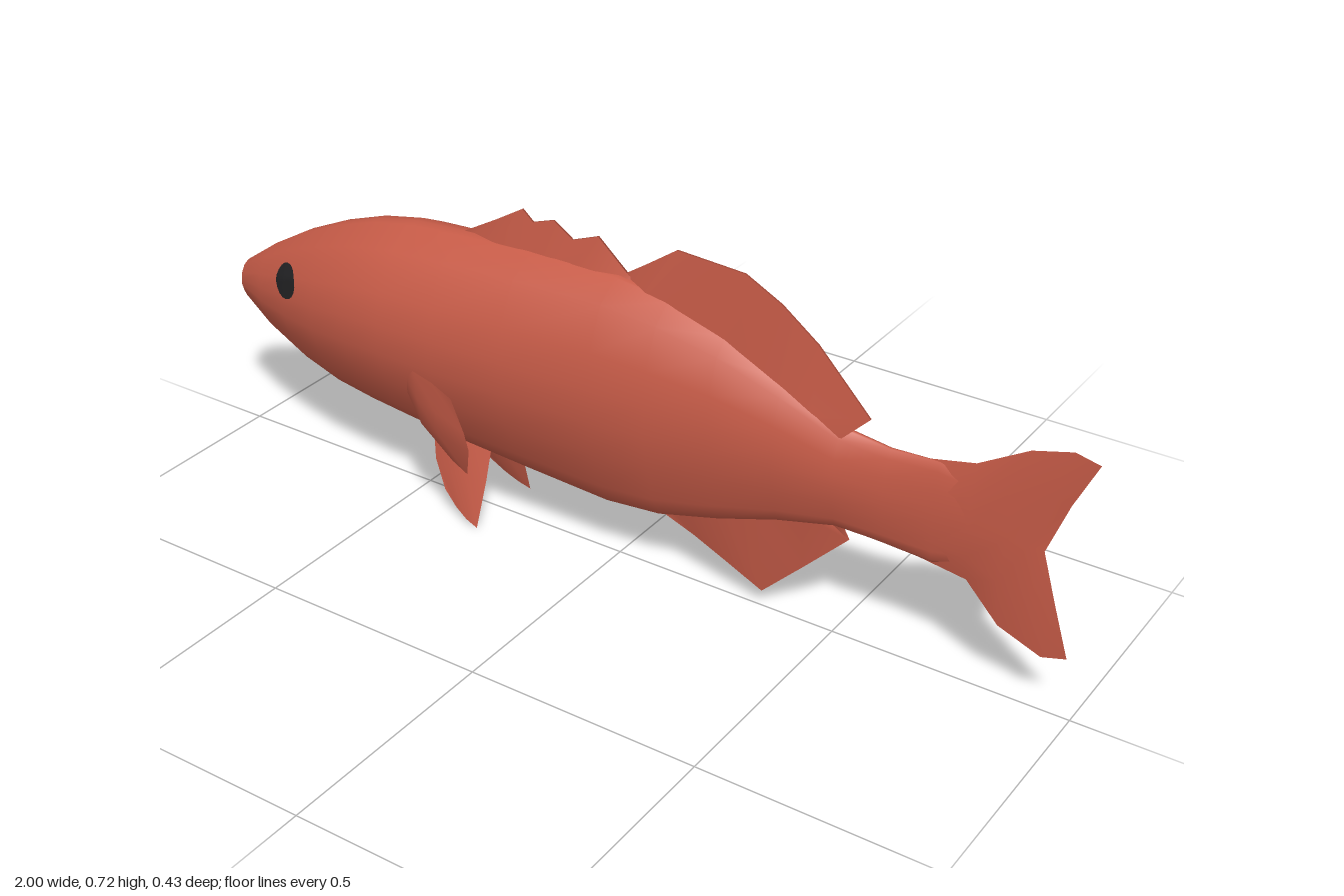
import * as THREE from 'three';

// Body stations from nose to tail root: x, belly y, back y, half width
const STATIONS = [
  [-1, 0.325, 0.375, 0.012], [-0.985, 0.312, 0.405, 0.03], [-0.9, 0.262, 0.465, 0.066],
  [-0.8, 0.222, 0.523, 0.1], [-0.7, 0.197, 0.568, 0.126], [-0.6, 0.185, 0.602, 0.143],
  [-0.5, 0.175, 0.622, 0.149], [-0.37, 0.161, 0.632, 0.147], [-0.2, 0.147, 0.64, 0.137],
  [0, 0.13, 0.64, 0.117], [0.12, 0.138, 0.622, 0.1], [0.25, 0.172, 0.585, 0.08],
  [0.38, 0.215, 0.525, 0.058], [0.5, 0.245, 0.462, 0.038], [0.6, 0.242, 0.45, 0.025],
  [0.7, 0.237, 0.455, 0.017], [0.78, 0.26, 0.44, 0.011], [0.87, 0.31, 0.38, 0.004],
];
// Half cross-section from belly to back: width fraction, height fraction
const SECTION = [[0, 0], [0.4, 0.04], [0.62, 0.13], [0.86, 0.3], [1, 0.46], [0.98, 0.6],
  [0.9, 0.75], [0.58, 0.92], [0.14, 0.995], [0, 1]];

// Linear lookup of column `out` in a table sorted by column `key`
function lookup(table, key, out, v) {
  let i = 1;
  while (i < table.length - 1 && table[i][key] < v) i++;
  const a = table[i - 1], b = table[i];
  const t = THREE.MathUtils.clamp((v - a[key]) / (b[key] - a[key]), 0, 1);
  return a[out] + (b[out] - a[out]) * t;
}
const belly = x => lookup(STATIONS, 0, 1, x);
const back = x => lookup(STATIONS, 0, 2, x);
const flankZ = (x, y) =>
  lookup(STATIONS, 0, 3, x) * lookup(SECTION, 1, 0, (y - belly(x)) / (back(x) - belly(x)));

function makeGeometry(positions, index) {
  const g = new THREE.BufferGeometry();
  g.setAttribute('position', new THREE.Float32BufferAttribute(positions, 3));
  g.setIndex(index);
  g.computeVertexNormals();
  return g;
}

// Closed loft through the body stations
function bodyGeometry() {
  const ring = [...SECTION, ...SECTION.slice(1, -1).reverse().map(([w, h]) => [-w, h])];
  const n = ring.length, pos = [], idx = [];
  for (const [x, lo, hi, half] of STATIONS)
    for (const [w, h] of ring) pos.push(x, lo + (hi - lo) * h, half * w);
  for (let i = 0; i < STATIONS.length - 1; i++)
    for (let j = 0; j < n; j++) {
      const k = (j + 1) % n, a = i * n + j, b = a + n, c = (i + 1) * n + k, d = i * n + k;
      idx.push(a, b, c, a, c, d);
    }
  const last = (STATIONS.length - 1) * n;
  pos.push(-1, 0.35, 0, 0.87, 0.345, 0);
  for (let j = 0; j < n; j++) {
    const k = (j + 1) % n;
    idx.push(last + n, j, k, last + n + 1, last + k, last + j);
  }
  return makeGeometry(pos, idx);
}

// Tapered fin: rows of points from root to tip, thickness fading to every free edge
function finGeometry(rows, halfWidths) {
  const m = rows[0].length, count = rows.length * m, pos = [], idx = [];
  for (const side of [1, -1])
    rows.forEach((row, r) => row.forEach(([x, y, z = 0], c) =>
      pos.push(x, y, z + side * halfWidths[r] * (c === 0 || c === m - 1 ? 0 : 1))));
  // Winding direction of the outline in the xy plane
  let area = 0;
  for (let r = 0; r < rows.length - 1; r++)
    for (let c = 0; c < m - 1; c++) {
      const p = rows[r][c], q = rows[r + 1][c + 1], s = rows[r + 1][c], t = rows[r][c + 1];
      area += (q[0] - p[0]) * (t[1] - s[1]) - (q[1] - p[1]) * (t[0] - s[0]);
    }
  for (let r = 0; r < rows.length - 1; r++)
    for (let c = 0; c < m - 1; c++) {
      const a = r * m + c, b = a + m, d = a + 1, e = b + 1;
      for (const [i, j, k] of [[a, b, e], [a, e, d]]) {
        if (area > 0) idx.push(i, j, k, count + i, count + k, count + j);
        else idx.push(i, k, j, count + i, count + j, count + k);
      }
    }
  return makeGeometry(pos, idx);
}

export function createModel() {
  const skin = new THREE.MeshStandardMaterial({ color: 0xc85c48, side: THREE.DoubleSide });
  skin.name = 'coral red skin';
  const black = new THREE.MeshStandardMaterial({ color: 0x222224, side: THREE.DoubleSide });
  black.name = 'eye black';

  const fish = new THREE.Group();
  fish.name = 'fish';
  const add = (name, geometry, material = skin) => {
    const mesh = new THREE.Mesh(geometry, material);
    mesh.name = name;
    fish.add(mesh);
  };

  add('body', bodyGeometry());

  // Spiny and soft back fins, rooted just inside the back
  const backFin = tips => finGeometry(
    [tips.map(([x]) => [Math.min(x, 0.5), back(Math.min(x, 0.5)) - 0.02]), tips], [0.02, 0.002]);
  add('spinyBackFin', backFin([[-0.38, 0.63], [-0.3, 0.675], [-0.23, 0.717], [-0.205, 0.695],
    [-0.155, 0.712], [-0.11, 0.682], [-0.05, 0.705], [0.02, 0.643], [0.04, 0.63]]));
  add('softBackFin', backFin([[0, 0.635], [0.06, 0.675], [0.13, 0.724], [0.28, 0.716],
    [0.36, 0.675], [0.44, 0.615], [0.555, 0.495], [0.5, 0.455]]));

  // Fin under the rear belly
  const under = [[0.1, 0.135], [0.18, 0.108], [0.26, 0.072], [0.34, 0.035], [0.43, 0.125],
    [0.525, 0.222], [0.47, 0.24]];
  add('bellyFin', finGeometry(
    [under.map(([x]) => [Math.min(x, 0.48), belly(Math.min(x, 0.48)) + 0.03]), under],
    [0.02, 0.002]));

  // Forked tail
  add('tailFin', finGeometry([
    [[0.66, 0.24], [0.68, 0.29], [0.68, 0.345], [0.68, 0.4], [0.66, 0.45]],
    [[0.77, 0.225], [0.77, 0.28], [0.77, 0.345], [0.77, 0.41], [0.77, 0.475]],
    [[0.84, 0.15], [0.835, 0.25], [0.845, 0.345], [0.84, 0.44], [0.87, 0.535]],
    [[0.93, 0.115], [0.9, 0.235], [0.885, 0.345], [0.915, 0.46], [0.95, 0.558]],
    [[0.98, 0.13], [0.945, 0.24], [0.915, 0.34], [0.955, 0.45], [1, 0.547]],
  ], [0.014, 0.012, 0.009, 0.006, 0]));

  // Paired fins and eyes, mirrored across the middle
  for (const [side, s] of [['left', -1], ['right', 1]]) {
    const mirrored = rows => rows.map(row => row.map(([x, y, z]) => [x, y, z * s]));
    const label = s > 0 ? 'front' : 'rear';

    add(label + 'SideFin', finGeometry(mirrored([
      [[-0.44, 0.335], [-0.44, 0.3], [-0.44, 0.26], [-0.435, 0.215]]
        .map(([x, y]) => [x, y, flankZ(x, y) - 0.004]),
      [[-0.405, 0.37, 0.152], [-0.38, 0.32, 0.16], [-0.38, 0.26, 0.15], [-0.39, 0.212, 0.11]],
      [[-0.335, 0.376, 0.178], [-0.32, 0.32, 0.18], [-0.32, 0.26, 0.172], [-0.3, 0.2, 0.165]],
      [[-0.27, 0.37, 0.2], [-0.23, 0.31, 0.212], [-0.218, 0.275, 0.214], [-0.235, 0.208, 0.2]],
    ]), [0.01, 0.012, 0.009, 0]));

    const spread = row => row.map(([x, y]) => [x, y, 0.04 + 0.055 * (0.18 - y) / 0.18]);
    add(label + 'LowerFin', finGeometry(mirrored([
      spread([[-0.45, 0.18], [-0.4, 0.19], [-0.35, 0.19], [-0.295, 0.19]]),
      spread([[-0.43, 0.11], [-0.385, 0.1], [-0.34, 0.1], [-0.295, 0.1]]),
      spread([[-0.395, 0.055], [-0.36, 0.027], [-0.33, 0.01], [-0.3, 0]]),
    ]), [0.012, 0.009, 0]));

    // Eye: thin disc draped over the flank
    const eye = new THREE.RingGeometry(0.0005, 0.036, 18, 4);
    const p = eye.attributes.position;
    for (let i = 0; i < p.count; i++) {
      const x = p.getX(i) - 0.79, y = p.getY(i) + 0.442;
      p.setXYZ(i, x, y, s * (flankZ(x, y) + 0.005));
    }
    if (s < 0) eye.setIndex([...eye.index.array].reverse());
    eye.computeVertexNormals();
    add(label + 'Eye', eye, black);
  }
  return fish;
}
